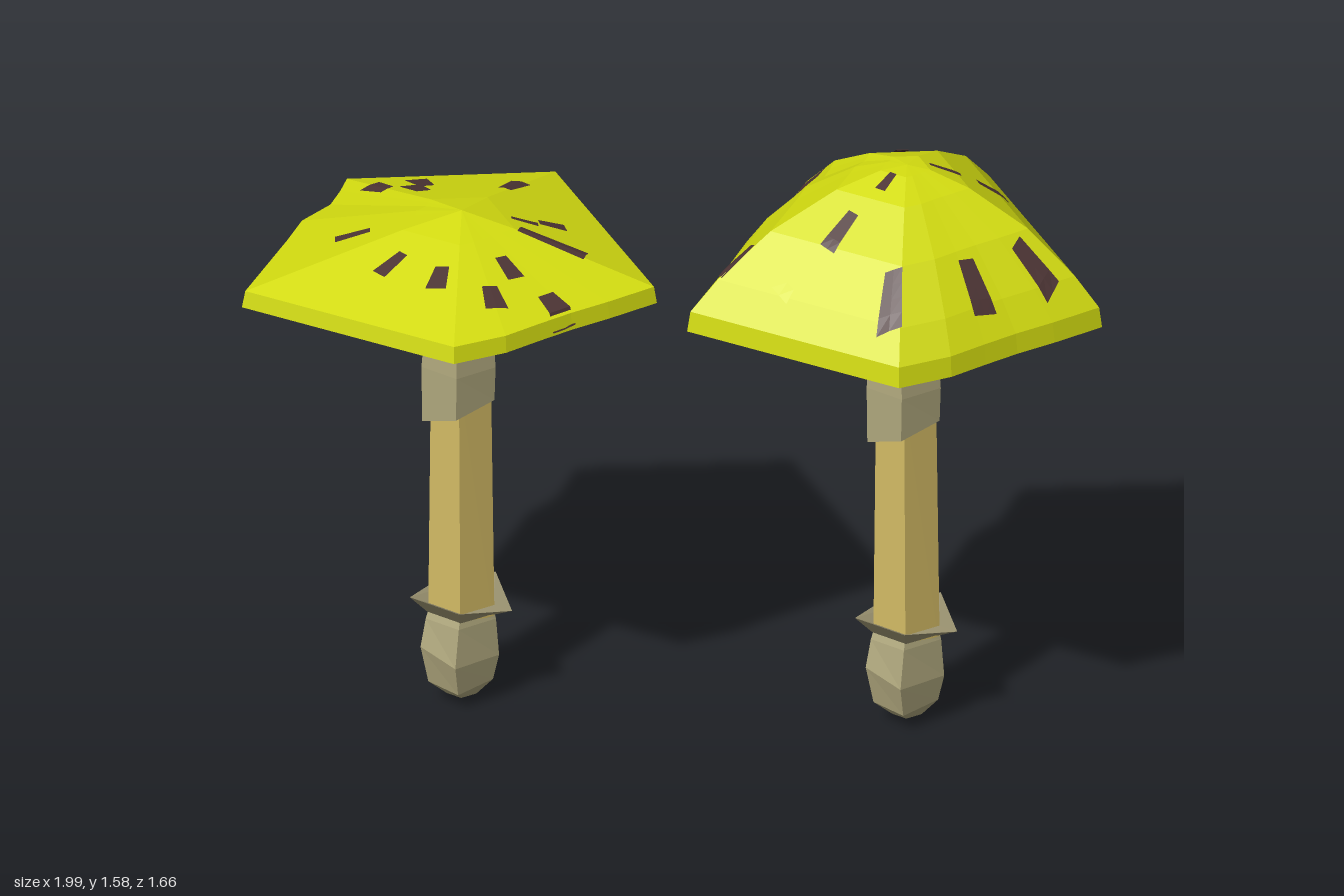
import * as THREE from 'three';

const mat = (color, side = THREE.FrontSide) =>
  new THREE.MeshStandardMaterial({ color, flatShading: true, side });
const YELLOW = mat(0xd3dc10), TAN = mat(0xd2ba64), GREY = mat(0xaea67c);
const RING = mat(0x9a9270, THREE.DoubleSide), BROWN = mat(0x4c3434, THREE.DoubleSide);
const PATCH = mat(0xd3dc10, THREE.DoubleSide);

// Cap outline around the stem (x, z), clockwise from the back corner
const OUTLINE = [
  [-0.12, -0.545], [0.19, -0.36], [0.5, -0.175], [0.46, -0.03], [0.425, 0.08], [0.40, 0.18],
  [0.375, 0.29], [0.31, 0.425], [-0.005, 0.465], [-0.32, 0.505], [-0.42, 0.2], [-0.46, 0.09],
  [-0.46, -0.03], [-0.49, -0.11], [-0.52, -0.175], [-0.32, -0.36],
];
// Pentagon with a flat front, clockwise from the back corner
const PENTAGON = [0, 1, 2, 3, 4].map((i) => {
  const a = (i * 2 * Math.PI) / 5;
  return [Math.sin(a), -Math.cos(a)];
});

// Skin between rings of [x, y, z] points, ordered bottom to top
function loft(rings, closed = true) {
  const n = rings[0].length, pos = [], idx = [];
  rings.forEach((r) => r.forEach((p) => pos.push(...p)));
  for (let i = 0; i < rings.length - 1; i++) {
    for (let j = 0; j < (closed ? n : n - 1); j++) {
      const k = (j + 1) % n, a = i * n + j, b = i * n + k, c = a + n, d = b + n;
      idx.push(a, c, d, a, d, b);
    }
  }
  const g = new THREE.BufferGeometry();
  g.setAttribute('position', new THREE.Float32BufferAttribute(pos, 3));
  g.setIndex(idx);
  const flat = g.toNonIndexed();
  flat.computeVertexNormals();
  return flat;
}

function add(group, name, geometry, material) {
  const mesh = new THREE.Mesh(geometry, material);
  mesh.name = name;
  group.add(mesh);
}

const ring = (points, s, y) => points.map(([x, z]) => [x * s, y, z * s]);
// Pentagonal ring with a height per corner and an optional forward shift
const penta = (rx, rz, ys, dz = 0) =>
  PENTAGON.map(([x, z], i) => [x * rx, Array.isArray(ys) ? ys[i] : ys, z * rz + dz]);

// How far (x, z) lies between the stem axis and the cap outline, 0 to 1
function outlineFraction(x, z) {
  for (let i = 0; i < OUTLINE.length; i++) {
    const [ax, az] = OUTLINE[i], [bx, bz] = OUTLINE[(i + 1) % OUTLINE.length];
    const det = ax * bz - az * bx;
    const u = (x * bz - z * bx) / det, v = (ax * z - az * x) / det;
    if (u >= -1e-9 && v >= -1e-9) return u + v;
  }
  return 0;
}

function capHeight(profile, x, z) {
  const t = outlineFraction(x, z);
  for (let i = 0; i < profile.length - 1; i++) {
    const [t0, y0] = profile[i], [t1, y1] = profile[i + 1];
    if (t <= t0 && t >= t1) return y0 + ((y1 - y0) * (t0 - t)) / (t0 - t1);
  }
  return profile[0][1];
}

// Tapered patch lying on the cap, pointing away from the apex
function spotGeometry(profile, [cx, cz, length = 0.09, width = 0.04]) {
  const r = Math.hypot(cx, cz), dx = cx / r, dz = cz / r, rows = [];
  for (let i = 0; i <= 4; i++) {
    const s = (i / 4 - 0.5) * length, w = width * (0.4 + 0.05 * i);
    rows.push([-1, 0, 1].map((e) => {
      const x = cx + dx * s - dz * w * e, z = cz + dz * s + dx * w * e;
      return [x, capHeight(profile, x, z) + 0.007, z];
    }));
  }
  return loft(rows, false);
}

// Fan of ridges under the cap, shared rim with the cap edge
function gillGeometry(rimY) {
  const points = [];
  OUTLINE.forEach(([x, z], i) => {
    const [bx, bz] = OUTLINE[(i + 1) % OUTLINE.length];
    for (let k = 0; k < 6; k++) points.push([x + ((bx - x) * k) / 6, z + ((bz - z) * k) / 6]);
  });
  const zigzag = (s, low, high) => points.map(([x, z], i) => [x * s, i % 2 ? low : high, z * s]);
  return loft([
    ring(points, 0.08, 1.18),
    zigzag(0.3, 1.163, 1.195),
    zigzag(0.92, 1.19, rimY + 0.01),
    ring(points, 1, rimY),
  ]);
}

function mushroom(name, x, z, profile, spots, patches = []) {
  const g = new THREE.Group();
  g.name = name;
  g.position.set(x, 0, z);

  add(g, 'cap', loft(profile.map(([s, y]) => ring(OUTLINE, s, y))), YELLOW);
  add(g, 'gills', gillGeometry(profile[0][1]), YELLOW);
  spots.forEach((s) => add(g, 'capSpot', spotGeometry(profile, s), BROWN));
  patches.forEach((s) => add(g, 'capPatch', spotGeometry(profile, s), PATCH));

  add(g, 'stem', loft([penta(0.09, 0.09, 0.2), penta(0.078, 0.086, 0.95)]), TAN);

  // Sleeve with a ragged lower edge, hanging lowest at the front
  const hem = [0.87, 0.865, 0.84, 0.805, 0.87];
  add(g, 'sleeve', loft([
    penta(0.075, 0.08, hem.map((y) => y + 0.012)),
    penta(0.094, 0.104, hem, 0.01),
    penta(0.098, 0.104, 0.96, 0.01),
    penta(0.076, 0.094, 1.19, 0.005),
  ]), GREY);

  // Thin flared collar above the bulb
  add(g, 'collar', loft([
    penta(0.085, 0.085, 0.245),
    penta(0.137, 0.14, [0.3, 0.265, 0.3, 0.3, 0.265]),
    penta(0.085, 0.085, 0.275),
  ]), RING);

  add(g, 'bulb', loft([
    penta(0, 0, 0),
    penta(0.04, 0.04, 0.012),
    penta(0.083, 0.095, [0.06, 0.06, 0.045, 0.055, 0.05]),
    penta(0.097, 0.122, [0.14, 0.13, 0.13, 0.16, 0.12]),
    penta(0.092, 0.1, 0.235),
    penta(0.085, 0.085, 0.27),
  ]), GREY);
  return g;
}

export function createModel() {
  const model = new THREE.Group();
  model.name = 'mushrooms';

  // Spots: x, z from the stem, then length and width
  const flatSpots = [
    [-0.29, -0.2, 0.1, 0.05], [-0.25, -0.13, 0.09, 0.05], [-0.36, -0.11, 0.08, 0.05],
    [-0.07, -0.3, 0.1, 0.045], [0.15, -0.185, 0.07, 0.035], [0.115, -0.115, 0.07, 0.02],
    [0.23, -0.085, 0.18, 0.035], [0.38, 0.095, 0.08, 0.06], [0.22, 0.085, 0.08, 0.04],
    [0.265, 0.205, 0.08, 0.05], [0.115, 0.24, 0.08, 0.045], [-0.03, 0.255, 0.09, 0.035],
    [-0.215, 0.18, 0.09, 0.035],
  ];
  const domeSpots = [
    [-0.39, -0.11, 0.1, 0.06], [-0.12, -0.13, 0.08, 0.035], [0.13, -0.19, 0.08, 0.035],
    [0.07, -0.07, 0.08, 0.02], [0.37, -0.06, 0.11, 0.05], [0.32, 0.12, 0.1, 0.055],
    [0.21, 0.33, 0.12, 0.055], [-0.02, 0.25, 0.1, 0.04], [0.005, 0.09, 0.06, 0.025],
    [-0.26, 0.38, 0.09, 0.045],
  ];
  model.add(
    mushroom('flatMushroom', -0.48, 0.325,
      [[1, 1.21], [0.985, 1.255], [0.27, 1.36], [0, 1.39]], flatSpots),
    mushroom('domedMushroom', 0.49, -0.29,
      [[1, 1.2], [0.985, 1.255], [0.86, 1.335], [0.62, 1.45], [0.32, 1.54], [0.12, 1.575], [0, 1.58]],
      domeSpots, [[-0.08, 0.36, 0.11, 0.05]]),
  );
  return model;
}
